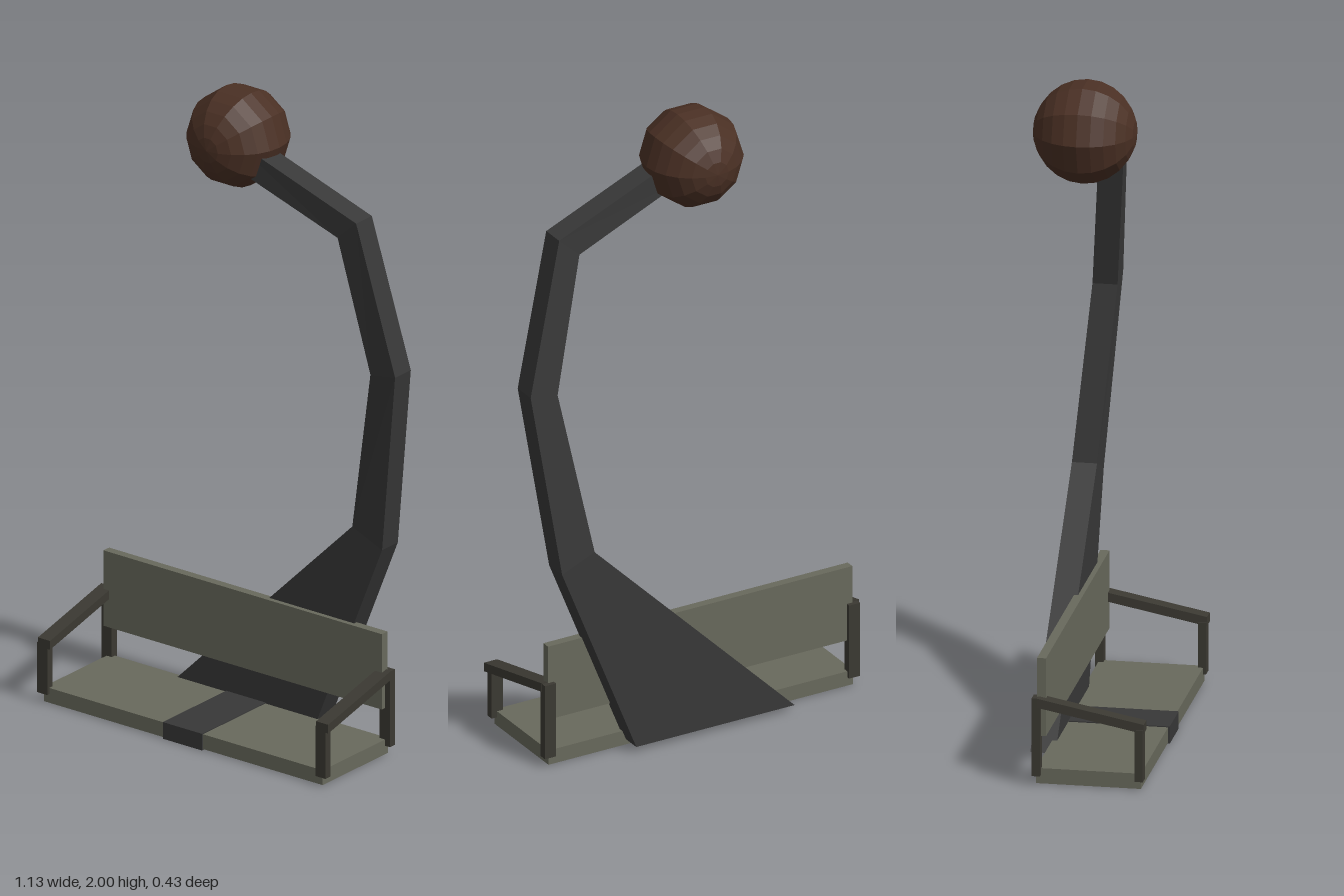
import * as THREE from 'three';

const mat = (color) => new THREE.MeshStandardMaterial({ color, flatShading: true });

// Box given by its limits on each axis
function box(name, material, [x0, x1], [y0, y1], [z0, z1]) {
  const mesh = new THREE.Mesh(new THREE.BoxGeometry(x1 - x0, y1 - y0, z1 - z0), material);
  mesh.position.set((x0 + x1) / 2, (y0 + y1) / 2, (z0 + z1) / 2);
  mesh.name = name;
  return mesh;
}

// Bent hanger: one row per bend, [inner x, inner y, outer x, outer y, front z]
function hangerArm(material) {
  const rows = [
    [-0.31, 0.02, 0.23, 0.02, -0.098],
    [0.372, 0.697, 0.483, 0.65, -0.098],
    [0.473, 1.22, 0.565, 1.234, -0.055],
    [0.378, 1.643, 0.447, 1.706, -0.02],
    [0.0, 1.785, 0.0, 1.873, 0.006],
  ];
  const depth = 0.075;
  const geometry = new THREE.BoxGeometry(1, 1, 1, 1, rows.length - 1, 1);
  const p = geometry.attributes.position;
  for (let i = 0; i < p.count; i++) {
    const row = rows[Math.round((p.getY(i) + 0.5) * (rows.length - 1))];
    const side = p.getX(i) > 0 ? 2 : 0;
    p.setXYZ(i, row[side], row[side + 1], row[4] - (p.getZ(i) > 0 ? 0 : depth));
  }
  geometry.computeVertexNormals();
  const mesh = new THREE.Mesh(geometry, material);
  mesh.name = 'hangerArm';
  return mesh;
}

// Two posts and a sloping rail, centred on its own x
function armrest(name, material, x) {
  const group = new THREE.Group();
  group.name = name;
  group.add(box('frontPost', material, [-0.019, 0.019], [0.03, 0.19], [0.185, 0.209]));
  group.add(box('backPost', material, [-0.019, 0.019], [0.03, 0.27], [-0.123, -0.098]));

  // Rail rises and drifts sideways towards the back
  const geometry = new THREE.BoxGeometry(0.045, 0.028, 0.316);
  const p = geometry.attributes.position;
  for (let i = 0; i < p.count; i++) {
    const back = 0.5 - p.getZ(i) / 0.316;
    p.setX(i, p.getX(i) + 0.008 - 0.011 * back);
    p.setY(i, p.getY(i) + 0.066 * back);
  }
  geometry.computeVertexNormals();
  const rail = new THREE.Mesh(geometry, material);
  rail.name = 'rail';
  rail.position.set(0, 0.192, 0.053);
  group.add(rail);
  group.position.x = x;
  return group;
}

export function createModel() {
  const model = new THREE.Group();
  model.name = 'chairLift';
  const steel = mat(0x383838);
  const panel = mat(0x68695c);
  const trim = mat(0x3b3932);

  // Bench
  const width = [-0.544, 0.494];
  model.add(box('seat', panel, width, [0.003, 0.05], [-0.113, 0.2]));
  model.add(box('backrest', panel, width, [0.15, 0.39], [-0.11, -0.083]));
  model.add(box('seatStrap', steel, [-0.098, 0.048], [0, 0.053], [-0.117, 0.205]));
  model.add(armrest('rightArmrest', trim, -0.544));
  model.add(armrest('leftArmrest', trim, 0.493));

  // Hanger and the faceted ball it hangs from
  model.add(hangerArm(steel));
  const ball = new THREE.Mesh(new THREE.SphereGeometry(0.154, 10, 12).rotateX(Math.PI / 2), mat(0x4a3024));
  ball.name = 'topBall';
  ball.position.set(-0.024, 1.853, -0.061);
  model.add(ball);
  return model;
}
